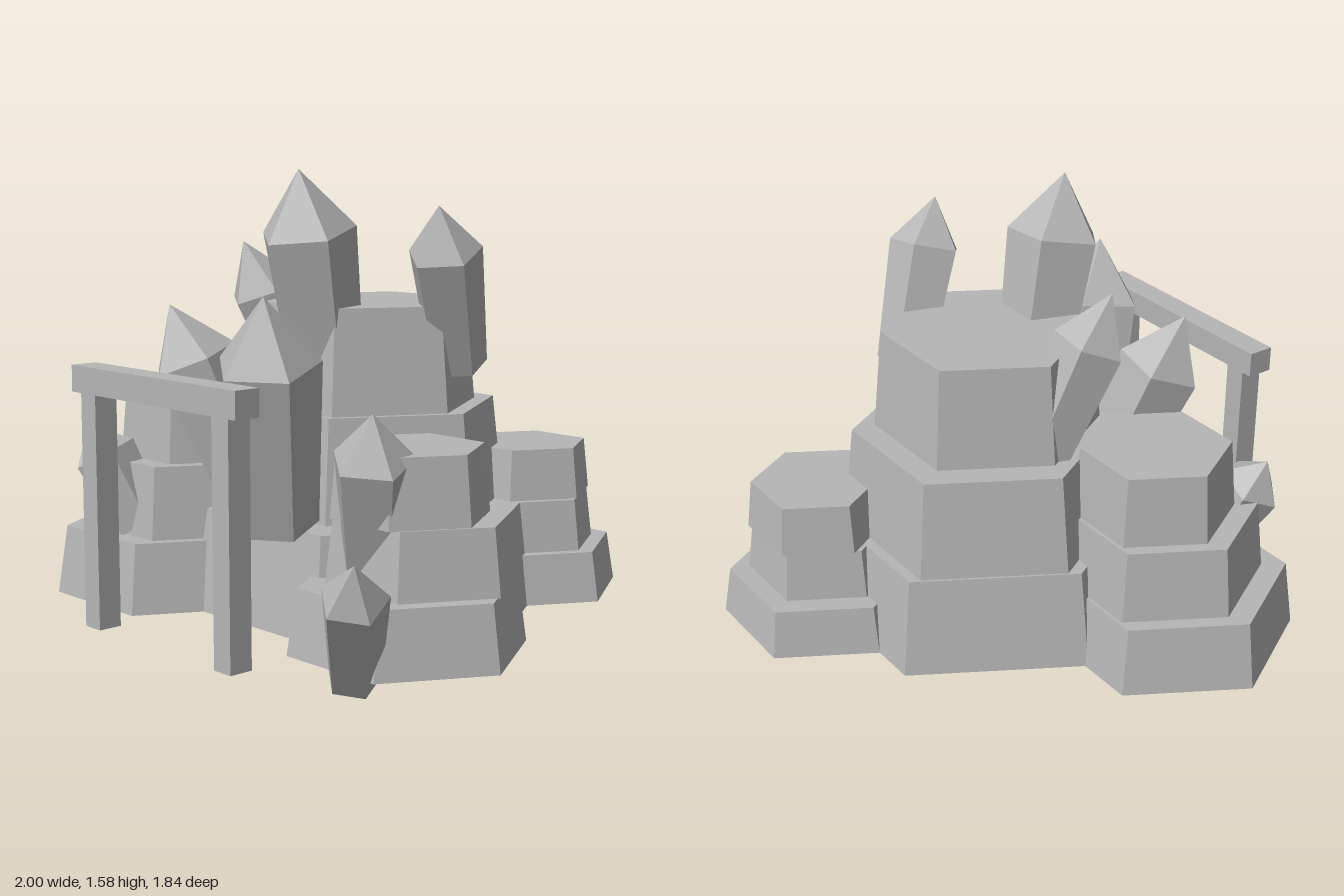
import * as THREE from 'three';

const stone = new THREE.MeshStandardMaterial({ color: 0xb6b6b6, flatShading: true, side: THREE.DoubleSide });
stone.name = 'grey stone';

// Faceted solid turned from [radius, height] points
function faceted(name, points, sides, phi = 0) {
  const profile = points.map(([r, y]) => new THREE.Vector2(r, y));
  const mesh = new THREE.Mesh(new THREE.LatheGeometry(profile, sides, phi), stone);
  mesh.name = name;
  return mesh;
}

// Stack of tapered hexagonal tiers, open underneath; each tier is [x, z, radius]
function rockStack(name, levels, tiers) {
  const group = new THREE.Group();
  group.name = name;
  tiers.forEach(([x, z, r], i) => {
    const h = levels[i + 1] - levels[i];
    const tier = faceted('rockTier', [[r, 0], [r * 0.92, h], [0, h]], 6, Math.PI / 6);
    tier.position.set(x, levels[i], z);
    group.add(tier);
  });
  return group;
}

// Five-sided leaning crystal, widening from its base to a pointed tip
function crystal(base, tip, radius) {
  const from = new THREE.Vector3(...base);
  const axis = new THREE.Vector3(...tip).sub(from);
  const length = axis.length();
  const mesh = faceted('crystal', [[0, 0], [radius * 0.8, 0], [radius, length * 0.71], [0, length]], 5);
  mesh.position.copy(from);
  mesh.quaternion.setFromUnitVectors(new THREE.Vector3(0, 1, 0), axis.normalize());
  return mesh;
}

function box(name, w, h, d, x, y, z) {
  const mesh = new THREE.Mesh(new THREE.BoxGeometry(w, h, d), stone);
  mesh.name = name;
  mesh.position.set(x, y, z);
  return mesh;
}

export function createModel() {
  const model = new THREE.Group();
  model.name = 'crystalRocks';

  // Rock stacks
  model.add(
    rockStack('mainRock', [0.06, 0.415, 0.77, 1.13],
      [[0.065, -0.045, 0.64], [0.01, -0.08, 0.505], [0.03, -0.05, 0.4]]),
    rockStack('rightRock', [0.06, 0.305, 0.56, 0.81],
      [[-0.55, 0.335, 0.45], [-0.525, 0.305, 0.365], [-0.51, 0.275, 0.285]]),
    rockStack('leftRock', [0.06, 0.28, 0.5, 0.725],
      [[0.597, 0.3, 0.4], [0.61, 0.24, 0.33], [0.605, 0.3, 0.265]]),
    rockStack('backRock', [0.06, 0.235, 0.415, 0.595],
      [[0.28, -0.6, 0.37], [0.29, -0.585, 0.28], [0.285, -0.612, 0.25]]),
  );

  // Crystals: base, tip, widest radius
  const crystals = new THREE.Group();
  crystals.name = 'crystals';
  [
    [[0.065, 0.86, 0.175], [0.11, 1.59, 0.335], 0.17],
    [[0.34, 0.916, -0.19], [0.44, 1.47, 0.01], 0.132],
    [[-0.26, 0.73, -0.04], [-0.34, 1.33, 0.2], 0.13],
    [[-0.13, 0.48, 0.36], [-0.29, 1.13, 0.57], 0.155],
    [[0.18, 0.43, 0.5], [0.31, 1.2, 0.66], 0.178],
    [[0.56, 0.33, 0.42], [0.69, 0.86, 0.55], 0.138],
    [[0.69, 0.05, 0.63], [0.89, 0.47, 0.815], 0.11],
    [[-0.5, 0.33, 0.55], [-0.65, 0.68, 0.67], 0.12],
  ].forEach((c) => crystals.add(crystal(...c)));
  model.add(crystals);

  // Gate in front
  const gate = new THREE.Group();
  gate.name = 'gate';
  gate.add(box('lintel', 0.855, 0.09, 0.095, 0.053, 0.9, 0.868));
  for (const x of [-0.29, 0.4]) gate.add(box('gatePost', 0.08, 0.795, 0.085, x, 0.4575, 0.868));
  model.add(gate);

  return model;
}
